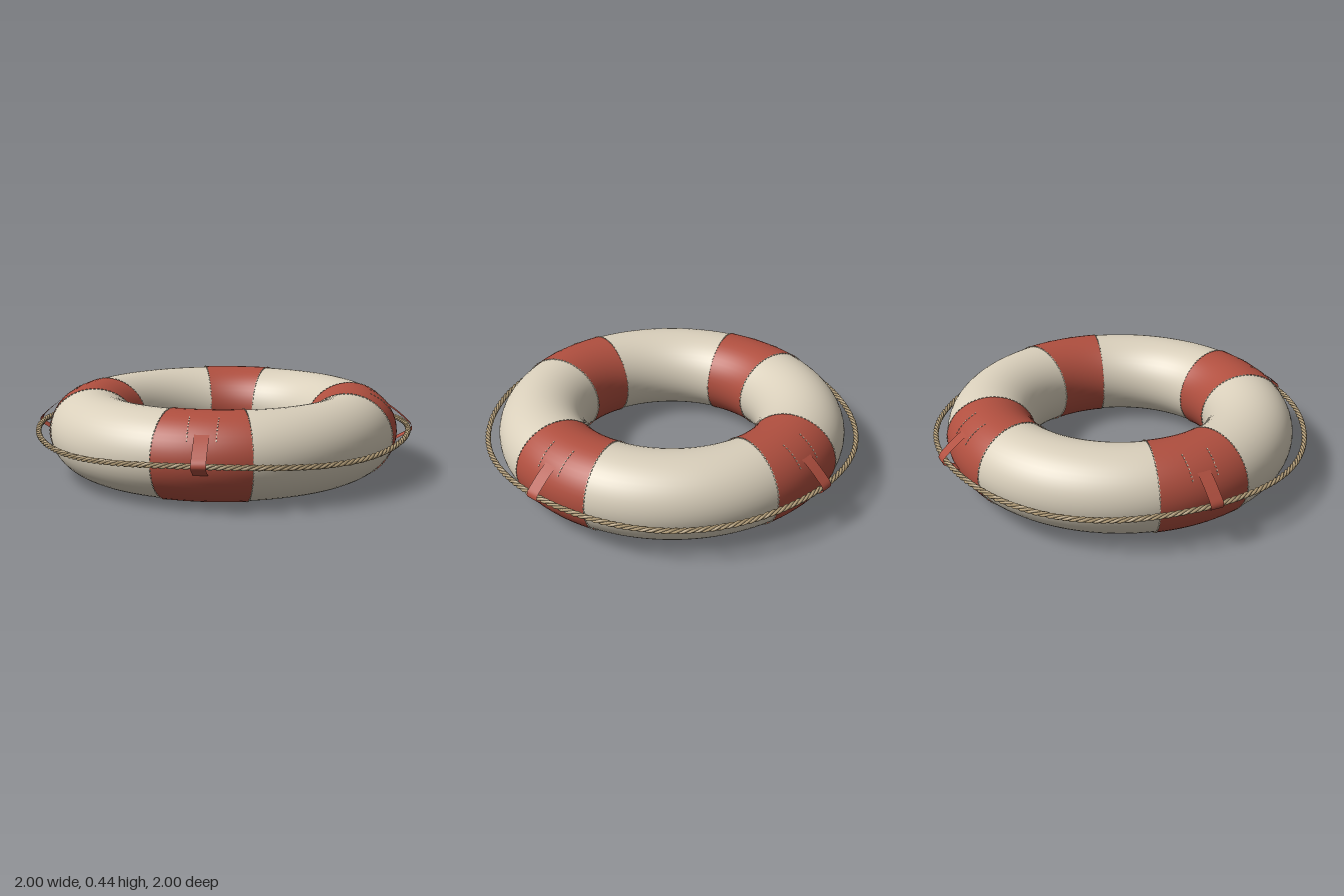
import * as THREE from 'three';
import { mergeGeometries } from 'three/addons/utils/BufferGeometryUtils.js';

const RING = 0.688, MID = 0.22, HALF_BAND = Math.PI / 12;
const A = 0.233, B = 0.2185; // half width and half height of the tube at the bands

// A sector of the ring, centred on angle mid about the y axis
function ringSector(a, b, mid, span, segments) {
  const g = new THREE.TorusGeometry(RING, a, 48, segments, span);
  g.rotateX(-Math.PI / 2);
  g.scale(1, b / a, 1);
  g.rotateY(mid - span / 2);
  return g.translate(0, MID, 0);
}

// Point on the band surface: theta about the ring, phi around the tube
function surfacePoint(theta, phi) {
  const r = RING + A * Math.cos(phi);
  return new THREE.Vector3(r * Math.cos(theta), MID + B * Math.sin(phi), -r * Math.sin(theta));
}

// One small stitch lying between two points
function stitch(p, q, width) {
  const g = new THREE.BoxGeometry(width, width, p.distanceTo(q));
  const m = new THREE.Matrix4().lookAt(q, p, new THREE.Vector3(0.01, 1, 0.02));
  g.applyMatrix4(m.setPosition(p.clone().add(q).multiplyScalar(0.5)));
  return g;
}

// One strand of the twisted rope, sagging between the straps
class Strand extends THREE.Curve {
  constructor(phase) {
    super();
    this.phase = phase;
  }
  getUtoTmapping(u) {
    return u;
  }
  getPoint(t, target = new THREE.Vector3()) {
    const th = t * Math.PI * 2, tw = th * 56 + this.phase;
    const r = 0.978 + 0.0075 * Math.cos(tw);
    const y = 0.224 + 0.013 * Math.cos(4 * th) + 0.0075 * Math.sin(tw);
    return target.set(r * Math.cos(th), y, -r * Math.sin(th));
  }
}

// Strap loop: a thin ribbon swept from the ring, round the rope and back
function strapGeometry() {
  const path = new THREE.CatmullRomCurve3([
    [0.862, 0.362], [0.915, 0.325], [0.965, 0.283], [0.995, 0.252],
    [0.998, 0.23], [0.975, 0.212], [0.913, 0.178],
  ].map(([x, y]) => new THREE.Vector3(x, y, 0)));
  const pts = path.getPoints(28);
  const g = new THREE.PlaneGeometry(1, 1, 1, 28);
  const pos = g.attributes.position;
  pts.forEach((p, i) => {
    pos.setXYZ(2 * i, p.x, p.y, 0.035);
    pos.setXYZ(2 * i + 1, p.x, p.y, -0.035);
  });
  g.computeVertexNormals();
  return g;
}

export function createModel() {
  const model = new THREE.Group();
  const material = (name, color, side = THREE.FrontSide) => {
    const m = new THREE.MeshStandardMaterial({ color, side });
    m.name = name;
    return m;
  };
  const cream = material('creamCanvas', 0xd9cfbb);
  const red = material('redCanvas', 0xb04f3f, THREE.DoubleSide);
  const tan = material('tanRope', 0xb39d78);
  const thread = material('paleThread', 0xcfc4ae);
  const add = (parent, name, geometry, mat) => {
    const mesh = new THREE.Mesh(geometry, mat);
    mesh.name = name;
    parent.add(mesh);
    return mesh;
  };

  // Float ring
  add(model, 'floatRing', ringSector(0.2295, 0.215, 0, Math.PI * 2, 144), cream);

  // Rope strands
  const rope = new THREE.Group();
  rope.name = 'grabRope';
  for (let i = 0; i < 3; i++) {
    const g = new THREE.TubeGeometry(new Strand(i * Math.PI * 2 / 3), 784, 0.0075, 6, true);
    add(rope, 'ropeStrand', g, tan);
  }
  model.add(rope);

  // Stitches shared by every band, built around theta = 0
  const stitches = [];
  for (const s of [-1, 1]) {
    for (let i = 0; i < 72; i++) {
      const phi = i * Math.PI * 2 / 72;
      stitches.push(stitch(surfacePoint(s * HALF_BAND, phi), surfacePoint(s * HALF_BAND, phi + 0.045), 0.005));
    }
    // Short rows beside the strap
    for (let i = 0; i < 8; i++) {
      const at = (phi) => surfacePoint(Math.asin(s * 0.068 / (RING + A * Math.cos(phi))), phi);
      const phi = 0.53 + i * 0.085;
      stitches.push(stitch(at(phi), at(phi + 0.04), 0.005));
    }
  }
  const stitching = mergeGeometries(stitches);
  const band = ringSector(A, B, 0, HALF_BAND * 2, 16);
  const strap = strapGeometry();

  // Four bands, each with its strap and stitching
  for (let i = 0; i < 4; i++) {
    const group = new THREE.Group();
    group.name = 'bandAssembly';
    group.rotation.y = i * Math.PI / 2;
    add(group, 'band', band, red);
    add(group, 'ropeStrap', strap, red);
    add(group, 'stitching', stitching, thread);
    model.add(group);
  }
  return model;
}
